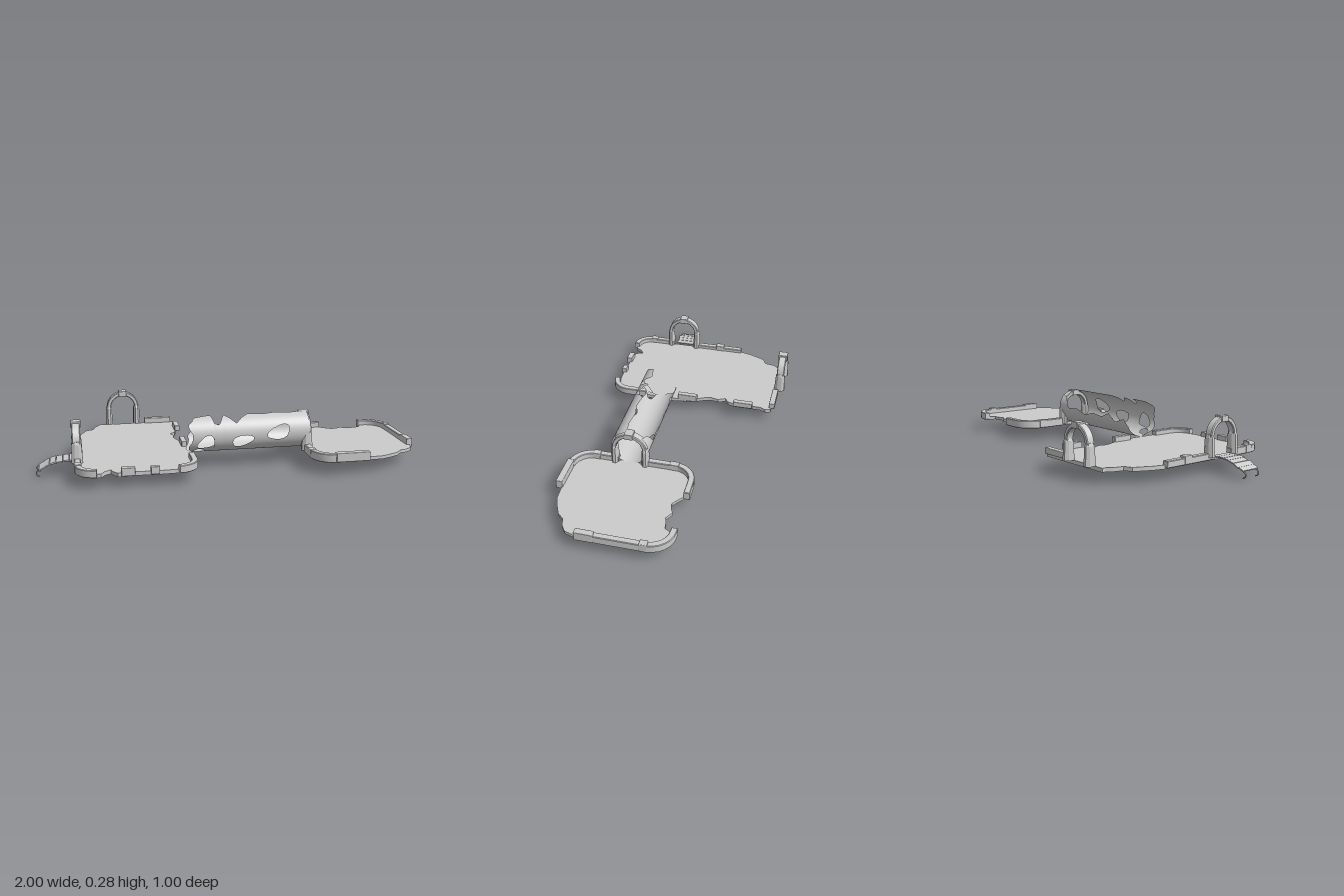
import * as THREE from 'three';
import { toCreasedNormals } from 'three/addons/utils/BufferGeometryUtils.js';
import { RoundedBoxGeometry } from 'three/addons/geometries/RoundedBoxGeometry.js';

const stone = new THREE.MeshStandardMaterial({ color: 0xcccccc });
const sheet = new THREE.MeshStandardMaterial({ color: 0xcccccc, side: THREE.DoubleSide });

function add(parent, name, geometry, x = 0, y = 0, z = 0, material = stone) {
  const mesh = new THREE.Mesh(geometry, material);
  mesh.name = name;
  mesh.position.set(x, y, z);
  parent.add(mesh);
  return mesh;
}

// Upright prism from an outline of [x, z] points
function slab(points, y0, y1, bevel = 0) {
  const shape = new THREE.Shape(points.map(([x, z]) => new THREE.Vector2(x, -z)));
  const g = new THREE.ExtrudeGeometry(shape, {
    depth: y1 - y0 - 2 * bevel, bevelEnabled: bevel > 0, bevelSize: bevel,
    bevelThickness: bevel, bevelOffset: -bevel, bevelSegments: 1,
  });
  g.rotateX(-Math.PI / 2).translate(0, y0 + bevel, 0);
  return toCreasedNormals(g, 0.5);
}

// Turn points around a corner
function corner(cx, cz, r, from, to, n = 6) {
  return Array.from({ length: n + 1 }, (_, i) => {
    const a = THREE.MathUtils.degToRad(from + (to - from) * i / n);
    return [cx + r * Math.cos(a), cz + r * Math.sin(a)];
  });
}

// Low wall of constant width following a centre line
function wall(path, y0, y1, width = 0.032) {
  const left = [], right = [];
  path.forEach(([x, z], i) => {
    const a = path[Math.max(i - 1, 0)], b = path[Math.min(i + 1, path.length - 1)];
    const l = Math.hypot(b[0] - a[0], b[1] - a[1]);
    const nx = -(b[1] - a[1]) / l * width / 2, nz = (b[0] - a[0]) / l * width / 2;
    left.push([x + nx, z + nz]);
    right.unshift([x - nx, z - nz]);
  });
  return slab([...left, ...right], y0, y1, 0.003);
}

function block(parent, name, x0, x1, y0, y1, z0, z1) {
  const g = new RoundedBoxGeometry(x1 - x0, y1 - y0, z1 - z0, 1, 0.004);
  add(parent, name, g, (x0 + x1) / 2, (y0 + y1) / 2, (z0 + z1) / 2);
}

// Doorway arch: tapered legs, half ring and keystone
function makeArch(name, x, z, turn) {
  const arch = new THREE.Group();
  arch.name = name;
  for (const s of [-1, 1]) {
    const leg = new THREE.CylinderGeometry(0.021, 0.0245, 0.095, 8);
    leg.rotateY(Math.PI / 8).scale(0.86, 1, 1.3);
    add(arch, 'archLeg', toCreasedNormals(leg, 0.5), s * 0.081, 0.1275, 0);
    const collar = new THREE.CylinderGeometry(0.015, 0.021, 0.015, 8);
    collar.rotateY(Math.PI / 8).scale(0.86, 1, 1.3);
    add(arch, 'archCollar', toCreasedNormals(collar, 0.5), s * 0.081, 0.1825, 0);
  }
  const ring = new THREE.Shape();
  ring.moveTo(0.092, 0.17);
  ring.absarc(0, 0.18, 0.092, 0, Math.PI, false);
  ring.lineTo(-0.092, 0.17);
  ring.lineTo(-0.069, 0.17);
  ring.absarc(0, 0.18, 0.069, Math.PI, 0, true);
  ring.lineTo(0.069, 0.17);
  const g = new THREE.ExtrudeGeometry(ring, {
    depth: 0.034, bevelSize: 0.004, bevelThickness: 0.004, bevelOffset: -0.004, bevelSegments: 1, curveSegments: 20,
  });
  add(arch, 'archRing', toCreasedNormals(g.translate(0, 0, -0.017), 0.6));
  block(arch, 'keystone', -0.023, 0.023, 0.246, 0.278, -0.026, 0.026);
  arch.position.set(x, 0, z);
  arch.rotation.y = turn;
  return arch;
}

// Straight-line lookup in a list of [x, value]
function sample(list, x) {
  const i = Math.max(1, list.findIndex(([end]) => x <= end + 1e-6));
  const [a, va] = list[i - 1], [b, vb] = list[i];
  return va + (vb - va) * (x - a) / (b - a);
}

// Broken pipe: angle 0 is the bottom, positive towards the front, PI the top
function brokenTube() {
  const frontEdge = [[-0.21, 2.3], [-0.19, 2.75], [-0.13, 2.9], [-0.1, 2.95], [-0.085, 2.3], [-0.06, 2.2],
    [-0.03, 2.95], [0, 2.6], [0.03, 2.25], [0.06, 2.6], [0.1, 2.95], [0.18, 2.85], [0.25, 3], [0.33, 2.9], [0.42, 3.02]];
  const backEdge = [[-0.21, -1.1], [-0.17, -1.6], [-0.1, -1.35], [-0.04, -1.75], [0.02, -1.5], [0.1, -1.6],
    [0.17, -1.4], [0.25, -1.65], [0.33, -1.6], [0.37, -2.2], [0.42, -2.4]];
  const holes = [[-0.13, 1.25, 0.045, 0.36], [0.06, 1.25, 0.055, 0.32], [0.255, 1.65, 0.058, 0.38],
    [0.23, -0.55, 0.036, 0.28], [-0.17, 0.55, 0.03, 0.2]];
  const nx = 90, na = 72, pos = [], open = [], faces = [], r = 0.098;
  for (let i = 0; i <= nx; i++) {
    for (let j = 0; j <= na; j++) {
      let x = -0.21 + 0.63 * i / nx;
      const a0 = sample(backEdge, x), a1 = sample(frontEdge, x);
      let a = a0 + (a1 - a0) * j / na, inside = false;
      for (const [hx, ha, rx, ra] of holes) {
        // push nearby points out to the rim of an uneven oval
        const u = (x - hx) / rx, v = (a - ha) / ra - 0.35 * u, t = Math.atan2(v, u);
        const rim = 1 + 0.1 * Math.sin(3 * t + hx * 20), d = Math.hypot(u, v) / rim;
        if (d < 0.8) inside = true;
        else if (d < 1) {
          x = hx + u / d * rx;
          a = ha + (v / d + 0.35 * u / d) * ra;
        }
      }
      if (i === 0) x += 0.012 * Math.sin(a * 5);
      open.push(inside);
      pos.push(x, 0.181 - r * Math.cos(a), 0.19 + r * Math.sin(a));
    }
  }
  for (let i = 0; i < nx; i++) {
    for (let j = 0; j < na; j++) {
      const p = i * (na + 1) + j, q = p + na + 1;
      if (![p, q, p + 1, q + 1].some((k) => open[k])) faces.push(p, q, p + 1, q, q + 1, p + 1);
    }
  }
  const g = new THREE.BufferGeometry();
  g.setAttribute('position', new THREE.Float32BufferAttribute(pos, 3));
  g.setIndex(faces);
  g.computeVertexNormals();
  return g;
}

export function createModel() {
  const model = new THREE.Group();
  model.name = 'ruinedWalkway';

  // Long platform with crumbled edges
  const long = new THREE.Group();
  long.name = 'longPlatform';
  model.add(long);
  add(long, 'longFloor', slab([
    [-0.66, -0.45], [-0.22, -0.45], [-0.21, -0.42], [-0.225, -0.39], [-0.225, -0.24], [-0.235, -0.2], [-0.265, -0.18],
    [-0.245, -0.14], [-0.255, -0.1], [-0.245, -0.06], [-0.225, -0.02], [-0.2, 0.1], [-0.2, 0.28],
    ...corner(-0.3, 0.38, 0.09, 0, 90), [-0.4, 0.475], [-0.5, 0.47], [-0.6, 0.475], [-0.62, 0.45], [-0.63, 0.42], [-0.66, 0.44],
    [-0.68, 0.475], ...corner(-0.7, 0.39, 0.085, 90, 180), [-0.785, -0.18], [-0.77, -0.24], [-0.74, -0.31],
    [-0.73, -0.33], [-0.69, -0.35], [-0.68, -0.4], [-0.66, -0.43],
  ], 0.06, 0.08));
  add(long, 'cornerWall', wall([...corner(-0.7, 0.39, 0.088, 90, 180), [-0.788, 0.25]], 0.066, 0.105));
  add(long, 'cornerWall', wall([[-0.21, 0.28], ...corner(-0.3, 0.39, 0.09, 0, 90)], 0.066, 0.105));
  add(long, 'sideWall', wall([[-0.788, 0.13], [-0.788, -0.18]], 0.066, 0.1));
  for (const [z0, z1] of [[-0.07, -0.02], [0.36, 0.4]]) block(long, 'wallBlock', -0.807, -0.77, 0.068, 0.11, z0, z1);
  block(long, 'wallBlock', -0.583, -0.515, 0.065, 0.107, 0.457, 0.49);
  block(long, 'wallBlock', -0.44, -0.395, 0.065, 0.105, 0.457, 0.485);
  block(long, 'wallBlock', -0.23, -0.2, 0.078, 0.11, -0.345, -0.235);
  block(long, 'wallBlock', -0.235, -0.205, 0.068, 0.108, -0.02, 0.09);
  block(long, 'wallBlock', -0.385, -0.23, 0.078, 0.11, -0.47, -0.437);

  // Square platform
  const square = new THREE.Group();
  square.name = 'squarePlatform';
  model.add(square);
  add(square, 'squareFloor', slab([
    ...corner(0.51, -0.05, 0.1, 180, 270), [0.61, -0.14], [0.64, -0.115], [0.67, -0.095], [0.7, -0.1], [0.73, -0.115], [0.77, -0.09],
    [0.8, -0.1], [0.84, -0.105], [0.86, -0.14], ...corner(0.88, -0.05, 0.1, 270, 360), [0.98, 0.3], [0.965, 0.35],
    [0.93, 0.375], [0.89, 0.385], [0.86, 0.42], [0.81, 0.445], [0.76, 0.465], [0.68, 0.47], ...corner(0.51, 0.38, 0.1, 90, 180),
  ], 0.068, 0.085));
  add(square, 'cornerWall', wall([[0.61, -0.155], ...corner(0.515, -0.05, 0.105, 270, 180), [0.41, 0.13]], 0.07, 0.115));
  add(square, 'cornerWall', wall([[0.41, 0.25], ...corner(0.515, 0.375, 0.105, 180, 90)], 0.07, 0.115));
  add(square, 'cornerWall', wall([[0.85, -0.155], ...corner(0.875, -0.05, 0.105, 270, 360), [0.98, 0.29]], 0.07, 0.112));
  block(square, 'frontBlock', 0.5, 0.68, 0.074, 0.122, 0.465, 0.5);
  block(square, 'wallBlock', 0.393, 0.428, 0.074, 0.118, -0.07, -0.02);
  block(square, 'wallBlock', 0.393, 0.428, 0.074, 0.118, 0.35, 0.39);
  for (const [z0, z1] of [[-0.06, -0.02], [0.2, 0.295]]) block(square, 'wallBlock', 0.963, 0.997, 0.07, 0.118, z0, z1);

  // Pipe between the platforms
  add(model, 'brokenTube', brokenTube(), 0, 0, 0, sheet);

  // Arches at the back, at the far side and at the pipe mouth
  model.add(makeArch('backArch', -0.51, -0.47, 0));
  model.add(makeArch('sideArch', -0.79, 0.19, Math.PI / 2));
  model.add(makeArch('tubeArch', 0.41, 0.19, Math.PI / 2));

  // Sagging rope bridge with a few planks left
  const bridge = new THREE.Group();
  bridge.name = 'ropeBridge';
  model.add(bridge);
  const curve = new THREE.CatmullRomCurve3([[-0.8, 0.08], [-0.86, 0.078], [-0.92, 0.067], [-0.965, 0.045], [-0.995, 0.028],
    [-0.992, 0.012], [-0.978, 0.004]].map(([x, y]) => new THREE.Vector3(x, y, 0)));
  for (const z of [0.14, 0.23]) add(bridge, 'rope', new THREE.TubeGeometry(curve, 28, 0.0035, 6), 0, 0, z);
  [0.05, 0.19, 0.33, 0.47, 0.61, 0.73].forEach((t, i) => {
    const p = curve.getPointAt(t), d = curve.getTangentAt(t);
    const plank = add(bridge, 'plank', new THREE.BoxGeometry(0.031, 0.006, 0.115 - 0.008 * (i % 2)), p.x, p.y + 0.003, 0.18 + 0.004 * (i % 3));
    plank.rotation.z = Math.atan2(-d.y, -d.x);
  });
  return model;
}
